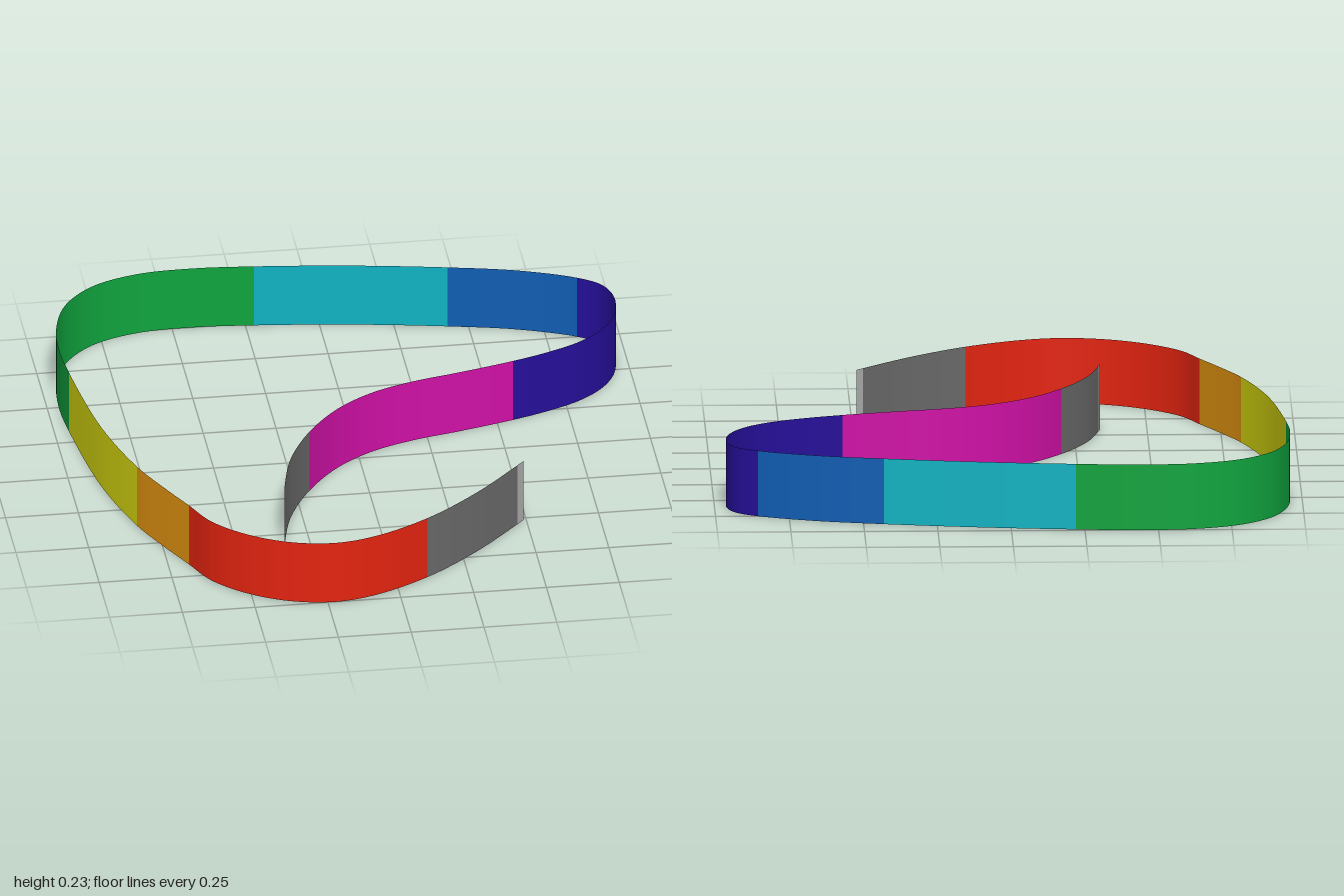
import * as THREE from 'three';

const HEIGHT = 0.228;

// Plan of the ribbon as [x, z] points; each section starts where the last one ends
const SECTIONS = [
  ['frontEndTab', 'lightGrey', 0xb0b0b0, [[0.49, 0.515], [0.467, 0.54]]],
  ['frontEnd', 'grey', 0x6c6c6c, [[0.3, 0.715], [0.11, 0.87]]],
  ['redSection', 'red', 0xe42410, [[-0.08, 0.97], [-0.22, 1.0], [-0.37, 0.975], [-0.51, 0.9], [-0.62, 0.79], [-0.68, 0.665]]],
  ['orangeSection', 'orange', 0xe29410, [[-0.75, 0.52], [-0.815, 0.37]]],
  ['yellowSection', 'yellow', 0xdada10, [[-0.895, 0.08], [-0.95, -0.33]]],
  ['greenSection', 'green', 0x10a43e, [[-0.96, -0.5], [-0.945, -0.66], [-0.89, -0.81], [-0.78, -0.925], [-0.62, -0.987], [-0.43, -1.0], [-0.22, -0.985]]],
  ['cyanSection', 'cyan', 0x10b2c2, [[0.1, -0.945], [0.43, -0.885]]],
  ['blueSection', 'blue', 0x105eb4, [[0.66, -0.83], [0.855, -0.75]]],
  ['indigoSection', 'indigo', 0x260f9a, [[0.93, -0.69], [0.96, -0.6], [0.945, -0.48], [0.89, -0.38], [0.8, -0.3], [0.68, -0.24], [0.555, -0.195]]],
  ['magentaSection', 'magenta', 0xd010a6, [[0.36, -0.14], [0.2, -0.1], [0.05, -0.04], [-0.08, 0.055], [-0.2, 0.205]]],
  ['innerEnd', 'grey', 0x6c6c6c, [[-0.29, 0.385], [-0.334, 0.555]]],
  ['innerEndTab', 'lightGrey', 0xb0b0b0, [[-0.34, 0.588]]],
];

// Upright strip following the curve between two parameters
function strip(curve, t0, t1, steps) {
  const position = [], normal = [], index = [];
  for (let i = 0; i <= steps; i++) {
    const t = t0 + (t1 - t0) * i / steps;
    const p = curve.getPoint(t), d = curve.getTangent(t);
    position.push(p.x, 0, p.z, p.x, HEIGHT, p.z);
    normal.push(d.z, 0, -d.x, d.z, 0, -d.x);
    if (i < steps) {
      const a = i * 2;
      index.push(a, a + 1, a + 2, a + 1, a + 3, a + 2);
    }
  }
  const g = new THREE.BufferGeometry();
  g.setAttribute('position', new THREE.Float32BufferAttribute(position, 3));
  g.setAttribute('normal', new THREE.Float32BufferAttribute(normal, 3));
  g.setIndex(index);
  // Keep the winding on the same side as the normals
  const [p, q, r] = [0, 1, 2].map(k => new THREE.Vector3().fromArray(position, k * 3));
  const face = q.sub(p).cross(r.sub(p));
  if (face.dot(new THREE.Vector3().fromArray(normal)) < 0) g.setIndex(index.reverse());
  return g;
}

export function createModel() {
  const group = new THREE.Group();
  group.name = 'ribbon';
  const points = SECTIONS.flatMap(s => s[3]).map(([x, z]) => new THREE.Vector3(x, 0, z));
  const curve = new THREE.CatmullRomCurve3(points, false, 'centripetal');
  const last = points.length - 1;

  // One shared material per colour
  const materials = {};
  let start = 0, count = 0;
  for (const [name, colorName, color, pts] of SECTIONS) {
    if (!materials[colorName]) {
      materials[colorName] = new THREE.MeshStandardMaterial({ color, side: THREE.DoubleSide });
      materials[colorName].name = colorName;
    }
    count += pts.length;
    const end = count - 1;
    const mesh = new THREE.Mesh(strip(curve, start / last, end / last, (end - start) * 8), materials[colorName]);
    mesh.name = name;
    group.add(mesh);
    start = end;
  }
  return group;
}
